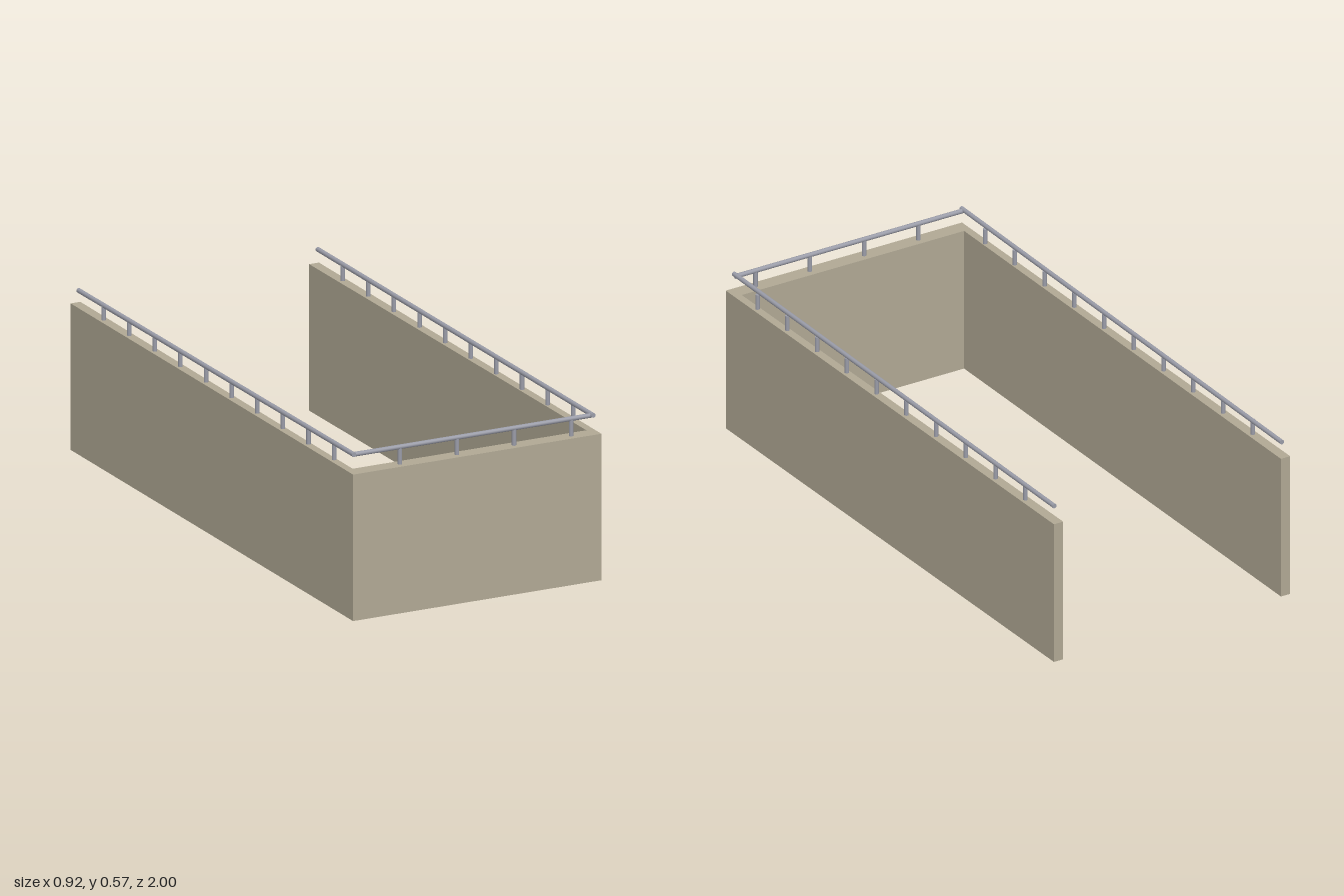
import * as THREE from 'three';

export function createModel() {
  const model = new THREE.Group();
  const stone = new THREE.MeshStandardMaterial({ name: 'stone', color: 0xb0a894 });
  const steel = new THREE.MeshStandardMaterial({ name: 'steel', color: 0x9a9ca8 });
  const wallTop = 0.505;

  // U-shaped parapet wall, open at the back; shape y becomes -z
  const plan = new THREE.Shape([
    [-0.458, -1], [0.458, -1], [0.458, 1], [0.422, 1],
    [0.431, -0.945], [-0.431, -0.945], [-0.422, 1], [-0.458, 1],
  ].map(([x, y]) => new THREE.Vector2(x, y)));
  const wallGeometry = new THREE.ExtrudeGeometry(plan, { depth: wallTop, bevelEnabled: false });
  wallGeometry.rotateX(-Math.PI / 2);
  const wall = new THREE.Mesh(wallGeometry, stone);
  wall.name = 'wall';
  model.add(wall);

  // Straight round bar between two points
  function bar(name, from, to, radius) {
    const a = new THREE.Vector3(...from);
    const b = new THREE.Vector3(...to);
    const direction = b.clone().sub(a);
    const geometry = new THREE.CylinderGeometry(radius, radius, direction.length(), 12);
    const mesh = new THREE.Mesh(geometry, steel);
    mesh.position.copy(a).add(b).multiplyScalar(0.5);
    mesh.quaternion.setFromUnitVectors(new THREE.Vector3(0, 1, 0), direction.normalize());
    mesh.name = name;
    model.add(mesh);
  }

  // Handrails, the side ones sloping gently down to the back
  bar('frontRail', [-0.446, 0.564, 0.972], [0.44, 0.564, 0.972], 0.008);
  bar('rightRail', [-0.446, 0.567, 0.985], [-0.439, 0.553, -0.98], 0.008);
  bar('leftRail', [0.436, 0.567, 0.985], [0.443, 0.559, -0.98], 0.008);

  // Posts along the front
  for (let i = 0; i < 4; i++) {
    const x = -0.271 + i * 0.2105;
    bar('frontPost', [x, wallTop, 0.972], [x, 0.564, 0.972], 0.0075);
  }

  // Posts along both sides
  for (const side of [-1, 1]) {
    for (let i = 0; i < 10; i++) {
      const z = 0.833 - i * 0.1813;
      bar('sidePost', [side * 0.441, wallTop, z], [side * 0.441, 0.558, z], 0.0075);
    }
  }
  return model;
}
